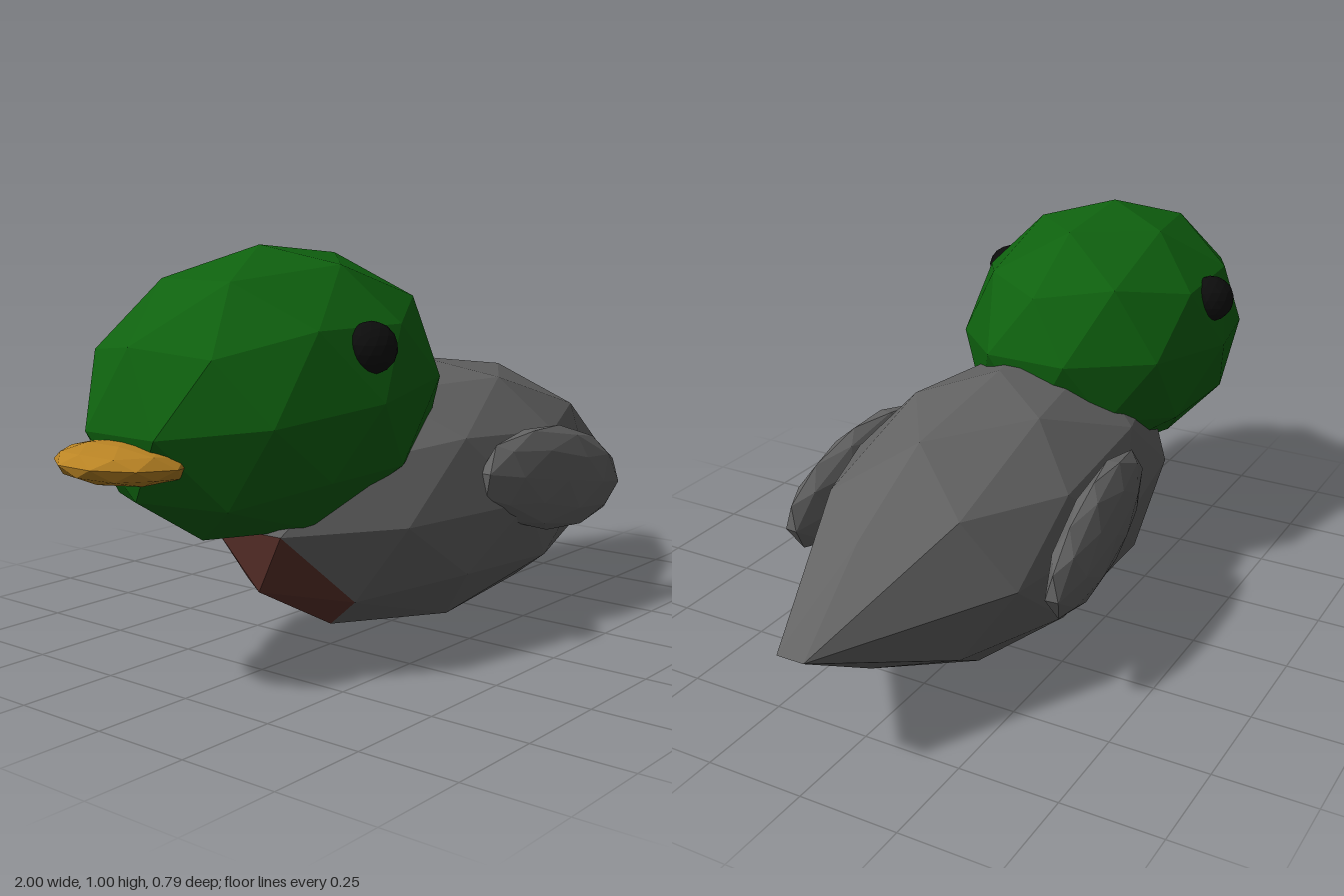
import * as THREE from 'three';

const rad = THREE.MathUtils.degToRad;

function material(name, color) {
  const m = new THREE.MeshStandardMaterial({ color, flatShading: true });
  m.name = name;
  return m;
}

// Faceted unit ball with a corner at the top and an upper corner towards +x
function facetedBall(detail = 1) {
  const g = new THREE.IcosahedronGeometry(1, detail);
  g.rotateZ(-Math.atan(2 / (1 + Math.sqrt(5))));
  return g;
}

// Copy of the triangles whose index passes the test
function pickFaces(geometry, test) {
  const p = geometry.attributes.position;
  const out = [];
  for (let i = 0; i < p.count; i += 3) {
    const corners = [0, 1, 2].map((k) => new THREE.Vector3().fromBufferAttribute(p, i + k));
    if (test(corners)) corners.forEach((c) => out.push(c.x, c.y, c.z));
  }
  const g = new THREE.BufferGeometry();
  g.setAttribute('position', new THREE.Float32BufferAttribute(out, 3));
  return g;
}

export function createModel() {
  const duck = new THREE.Group();
  duck.name = 'duck';
  const green = material('head green', 0x0f620f);
  const grey = material('feather grey', 0x636363);
  const brown = material('breast brown', 0x5e332c);
  const yellow = material('bill yellow', 0xba8424);
  const black = material('eye black', 0x0c0c0c);

  function add(name, geometry, mat, size, position, rotation = [0, 0, 0]) {
    geometry.scale(...size);
    geometry.computeVertexNormals();
    const mesh = new THREE.Mesh(geometry, mat);
    mesh.name = name;
    mesh.position.set(...position);
    mesh.rotation.set(...rotation.map(rad));
    duck.add(mesh);
  }

  // Body: two rear corners are drawn out into the tail
  const body = facetedBall();
  const p = body.attributes.position;
  for (let i = 0; i < p.count; i++) {
    if (p.getX(i) > 0.9 && Math.abs(p.getY(i)) < 0.1) {
      p.setX(i, 1.257);
      p.setZ(i, Math.sign(p.getZ(i)) * 0.1);
    }
  }

  // Breast: the five faces around the low front corner
  const breastCorner = new THREE.Vector3(-0.894, -0.447, 0);
  const onBreast = (corners) => corners.some((c) => c.distanceTo(breastCorner) < 0.05);
  const bodySize = [0.7, 0.345, 0.345];
  const bodyAt = [0.12, 0.345, 0];
  add('body', pickFaces(body, (c) => !onBreast(c)), grey, bodySize, bodyAt);
  add('breast', pickFaces(body, onBreast), brown, bodySize, bodyAt);

  // Head, tipped slightly, and bill
  add('head', facetedBall(), green, [0.5, 0.345, 0.345], [-0.415, 0.655, -0.037], [0, 0, 5.4]);
  add('bill', facetedBall(), yellow, [0.15, 0.05, 0.16], [-0.857, 0.55, -0.052], [0, 0, -3]);

  // Eyes and wings on both sides
  for (const side of [1, -1]) {
    const name = side > 0 ? 'front' : 'back';
    add(name + 'Eye', facetedBall(2), black, [0.06, 0.06, 0.06], [-0.413, 0.777, -0.037 + side * 0.302]);
    add(name + 'Wing', facetedBall(), grey, [0.295, 0.137, 0.053],
      [0.247, 0.388, side * 0.336], [0, -side * 5, -10]);
  }
  return duck;
}
